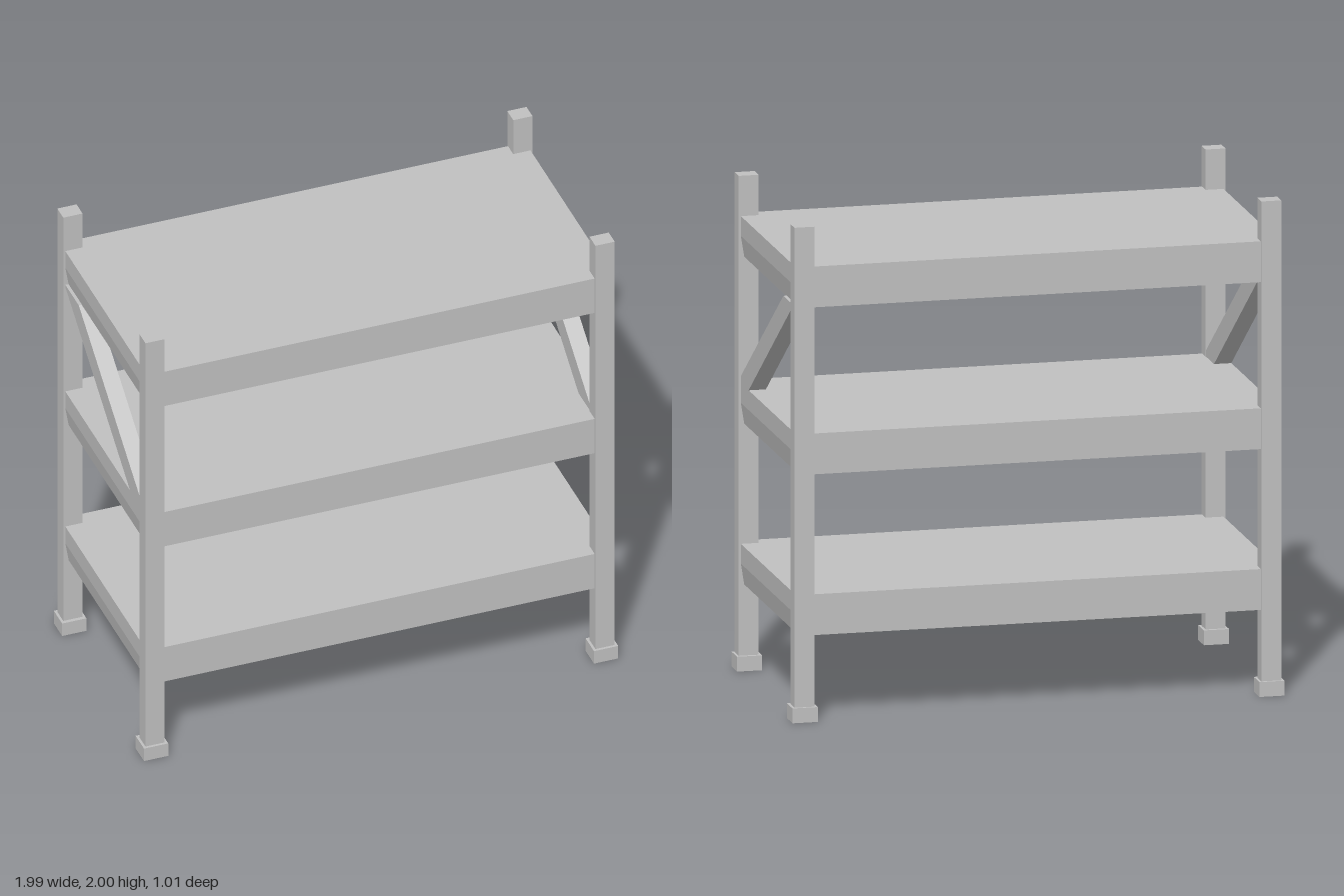
import * as THREE from 'three';

const steel = new THREE.MeshStandardMaterial({ color: 0xc0c0c0 });
steel.name = 'grey steel';

function box(name, w, h, d, x, y, z) {
  const m = new THREE.Mesh(new THREE.BoxGeometry(w, h, d), steel);
  m.name = name;
  m.position.set(x, y, z);
  return m;
}

// Extrudes a polygon given in (x, y) along z, from z0 to z1
function prism(points, z0, z1) {
  const shape = new THREE.Shape(points.map(([x, y]) => new THREE.Vector2(x, y)));
  const g = new THREE.ExtrudeGeometry(shape, { depth: z1 - z0, bevelEnabled: false });
  return g.translate(0, 0, z0);
}

function mesh(name, geometry) {
  const m = new THREE.Mesh(geometry, steel);
  m.name = name;
  return m;
}

const HALF_W = 0.978, FOOT_W = 0.964, HALF_D = 0.484; // shelf outline, skirt foot
const IN_X = 0.883, IN_Z = 0.39;                      // opening under the shelf
const H = 0.165, SKIRT = 0.085;

// Deck slab on a hollow frame of beams whose ends lean in slightly
function makeShelf(y) {
  const shelf = new THREE.Group();
  shelf.name = 'shelf';
  shelf.add(box('deck', HALF_W * 2, H - SKIRT, HALF_D * 2, 0, (H + SKIRT) / 2, 0));
  const long = [[-FOOT_W, 0], [FOOT_W, 0], [HALF_W, SKIRT], [-HALF_W, SKIRT]];
  shelf.add(mesh('frontBeam', prism(long, IN_Z, HALF_D)));
  shelf.add(mesh('backBeam', prism(long, -HALF_D, -IN_Z)));
  for (const s of [-1, 1]) {
    const end = [[s * IN_X, 0], [s * FOOT_W, 0], [s * HALF_W, SKIRT], [s * IN_X, SKIRT]];
    shelf.add(mesh(s > 0 ? 'leftEndBeam' : 'rightEndBeam', prism(end, -IN_Z, IN_Z)));
  }
  shelf.position.y = y;
  return shelf;
}

export function createModel() {
  const model = new THREE.Group();
  model.name = 'shelvingRack';

  // Corner posts with square feet
  for (const sx of [-1, 1]) {
    for (const sz of [-1, 1]) {
      model.add(box('post', 0.081, 1.99, 0.067, sx * 0.946, 1.005, sz * 0.459));
      model.add(box('foot', 0.102, 0.06, 0.094, sx * 0.946, 0.03, sz * 0.457));
    }
  }

  for (const y of [0.347, 0.997, 1.672]) model.add(makeShelf(y));

  // Diagonal end braces, rising from the front to the back
  const profile = [[-0.43, 1.16], [-0.3, 1.16], [0.43, 1.668], [0.43, 1.675], [0.275, 1.675], [-0.43, 1.187]];
  for (const s of [-1, 1]) {
    const g = prism(profile, -0.035, 0.035).rotateY(Math.PI / 2);
    const brace = mesh(s > 0 ? 'leftBrace' : 'rightBrace', g);
    brace.position.x = s * 0.943;
    model.add(brace);
  }
  return model;
}
